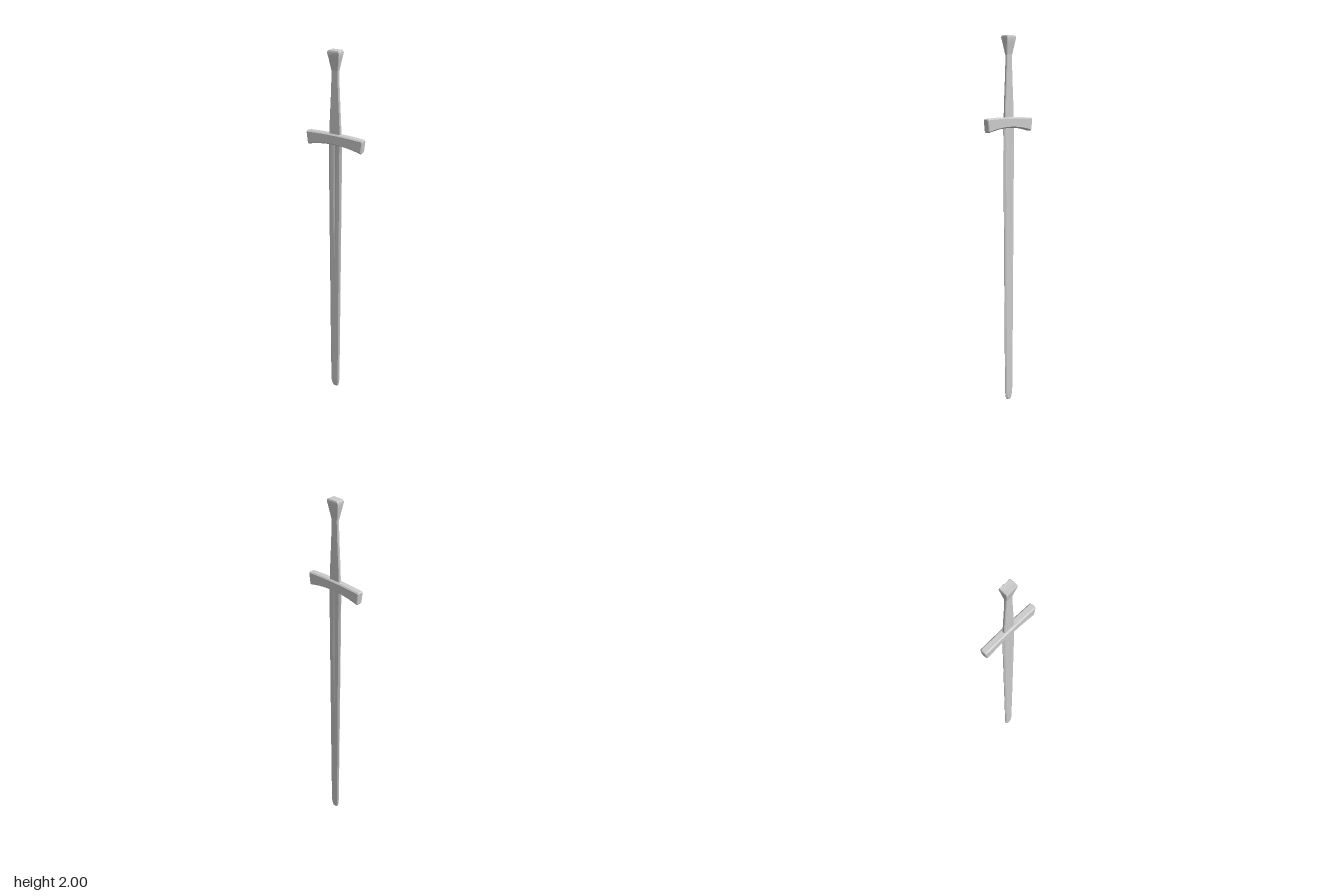
import * as THREE from 'three';
import { toCreasedNormals } from 'three/addons/utils/BufferGeometryUtils.js';

const material = new THREE.MeshStandardMaterial({ color: 0xcccccc });

// Skin a list of equal-length loops (anticlockwise seen from the far end) and cap both ends.
function loft(name, loops, crease = 0.45) {
  const n = loops[0].length, last = loops.length - 1;
  const points = loops.flat(), index = [];
  for (let i = 0; i < last; i++) {
    for (let j = 0; j < n; j++) {
      const a = i * n + j, b = i * n + (j + 1) % n;
      index.push(a, b, b + n, a, b + n, a + n);
    }
  }
  [0, last].forEach((k) => {
    const c = new THREE.Vector3();
    loops[k].forEach((p) => c.addScaledVector(p, 1 / n));
    points.push(c);
    for (let j = 0; j < n; j++) {
      const a = k * n + j, b = k * n + (j + 1) % n;
      if (k === 0) index.push(points.length - 1, b, a);
      else index.push(points.length - 1, a, b);
    }
  });
  const geometry = new THREE.BufferGeometry().setFromPoints(points);
  geometry.setIndex(index);
  const mesh = new THREE.Mesh(toCreasedNormals(geometry, crease), material);
  mesh.name = name;
  return mesh;
}

// Rectangle with cut corners, as [u, v] pairs.
const bevelled = (w, h, c) => [
  [w, -h + c], [w, h - c], [w - c, h], [-w + c, h],
  [-w, h - c], [-w, -h + c], [-w + c, -h], [w - c, -h],
];

// Horizontal loop in x and z, wound for lofting upwards.
const level = (pairs, y, bow = 0) =>
  pairs.map(([x, z]) => new THREE.Vector3(x, y - bow * x * x, -z));

// Blade: bevelled edges, with a shallow fuller on each face that narrows to nothing.
function blade() {
  const rows = [ // y, half width, half thickness
    [0, 0.008, 0.003], [0.004, 0.014, 0.005], [0.014, 0.021, 0.006], [0.032, 0.0255, 0.007],
    [0.06, 0.0275, 0.007], [0.4, 0.031, 0.007], [0.8, 0.034, 0.008],
    [1.2, 0.037, 0.008], [1.55, 0.0395, 0.008],
  ];
  return loft('blade', rows.map(([y, w, t]) => {
    const k = Math.max(0, (y - 0.8) / 0.75);
    const f = 0.001 + 0.011 * Math.sqrt(k), d = y > 0.8 ? 0.003 : 0;
    const face = [[w * 0.72, t], [f, t], [0, t - d], [-f, t], [-w * 0.72, t]];
    const half = [[w, 0.0015], ...face, [-w, 0.0015]];
    return level([...half, ...half.map(([x, z]) => [-x, -z])], y);
  }), 0.25);
}

// Crossguard: swept along x, arched and deeper towards the ends.
function guard() {
  const loops = [];
  const add = (x, shrink) => {
    const s = Math.abs(x) / 0.167;
    const top = 1.581 - 0.006 * s * s - shrink, bottom = 1.526 - 0.022 * s * s + shrink;
    const mid = (top + bottom) / 2, h = (top - bottom) / 2;
    loops.push(bevelled(h, 0.0185 - shrink, 0.006).map(([dy, z]) =>
      new THREE.Vector3(x - Math.sign(x) * 0.008 * s * (h - dy) / (2 * h), mid + dy, z)));
  };
  add(-0.167, 0.004);
  for (let i = -6; i <= 6; i++) add(0.163 * i / 6, 0);
  add(0.167, 0.004);
  return loft('crossguard', loops);
}

// Grip: flat bevelled bar tapering up to the pommel.
function grip() {
  const rows = [[1.56, 0.034], [1.65, 0.031], [1.76, 0.025], [1.86, 0.0205], [1.92, 0.02]];
  return loft('grip', rows.map(([y, w]) => level(bevelled(w, 0.008, 0.004), y)));
}

// Pommel: flared block with a gently domed top.
function pommel() {
  const rows = [
    [1.9, 0.02, 0.009], [1.925, 0.0245, 0.0125], [1.96, 0.03, 0.019],
    [1.99, 0.0345, 0.0235], [1.997, 0.033, 0.022], [2, 0.03, 0.02],
  ];
  return loft('pommel', rows.map(([y, w, d], i) =>
    level(bevelled(w, d, 0.003), y, i > 2 ? 5 : 0)));
}

export function createModel() {
  const sword = new THREE.Group();
  sword.name = 'sword';
  sword.add(blade(), guard(), grip(), pommel());
  return sword;
}
